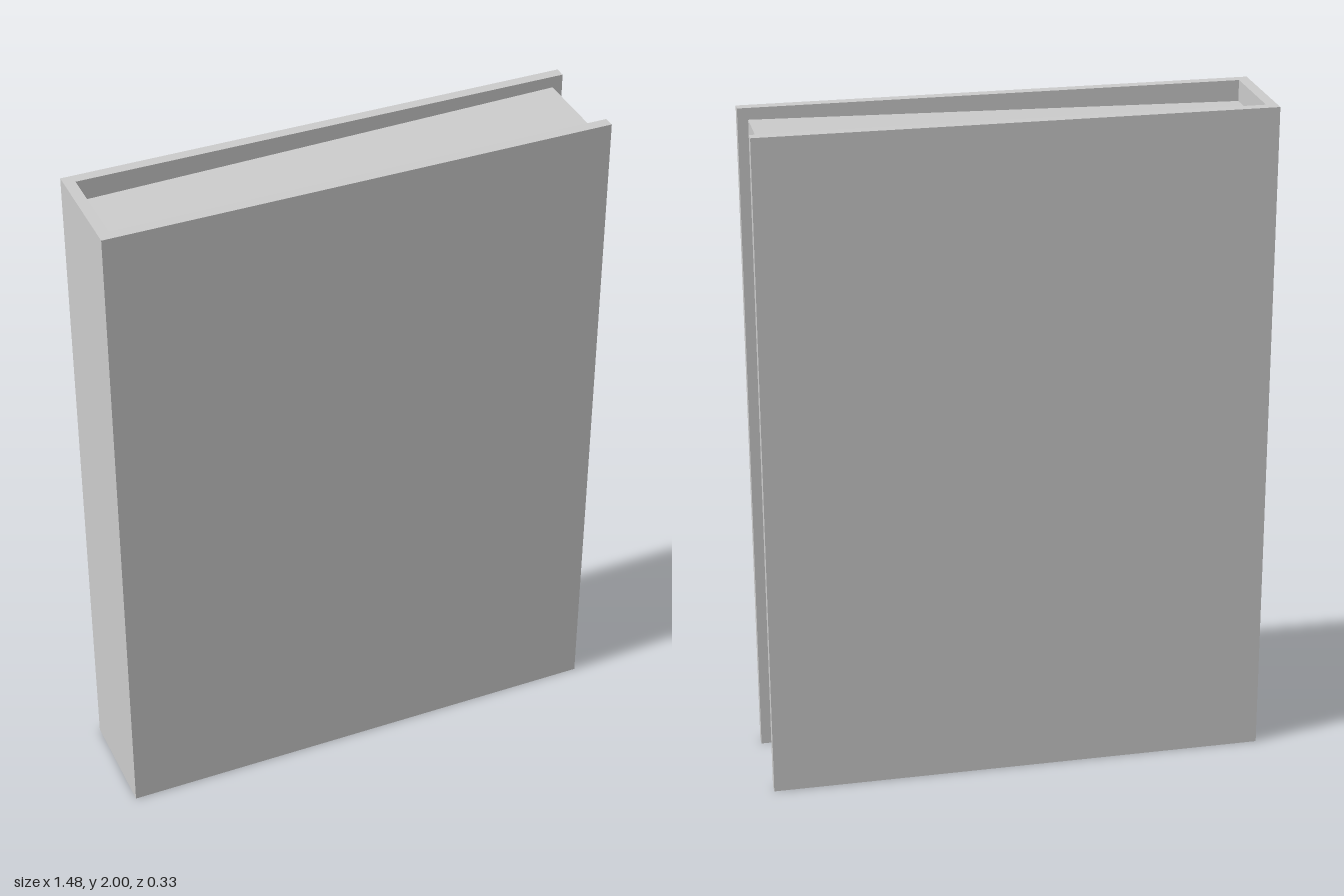
import * as THREE from 'three';

export function createModel() {
  const group = new THREE.Group();
  group.name = 'book';
  const material = new THREE.MeshStandardMaterial({ color: 0xcccccc, flatShading: true });

  const add = (name, geometry) => {
    const mesh = new THREE.Mesh(geometry, material);
    mesh.name = name;
    group.add(mesh);
  };
  const outline = (points) => new THREE.Shape(points.map(([x, y]) => new THREE.Vector2(x, y)));

  const W = 0.74, D = 0.165, T = 0.032, H = 2;
  const inner = D - T, spineIn = -W + T, pageEnd = 0.71;

  // Hard cover: U-shaped plan of two boards and a spine, extruded upwards
  const cover = new THREE.ExtrudeGeometry(outline([
    [-W, -D], [W, -D], [W, -inner], [spineIn, -inner],
    [spineIn, inner], [W, inner], [W, D], [-W, D],
  ]), { depth: H, bevelEnabled: false });
  cover.rotateX(-Math.PI / 2);
  add('cover', cover);

  // Page block: recessed at head and foot, a little deeper towards the spine
  const foreGap = 0.034, spineGap = 0.062;
  const pages = new THREE.ExtrudeGeometry(outline([
    [spineIn, spineGap], [pageEnd, foreGap], [pageEnd, H - foreGap], [spineIn, H - spineGap],
  ]), { depth: 2 * inner, bevelEnabled: false });
  pages.translate(0, 0, -inner);
  add('pages', pages);

  return group;
}
